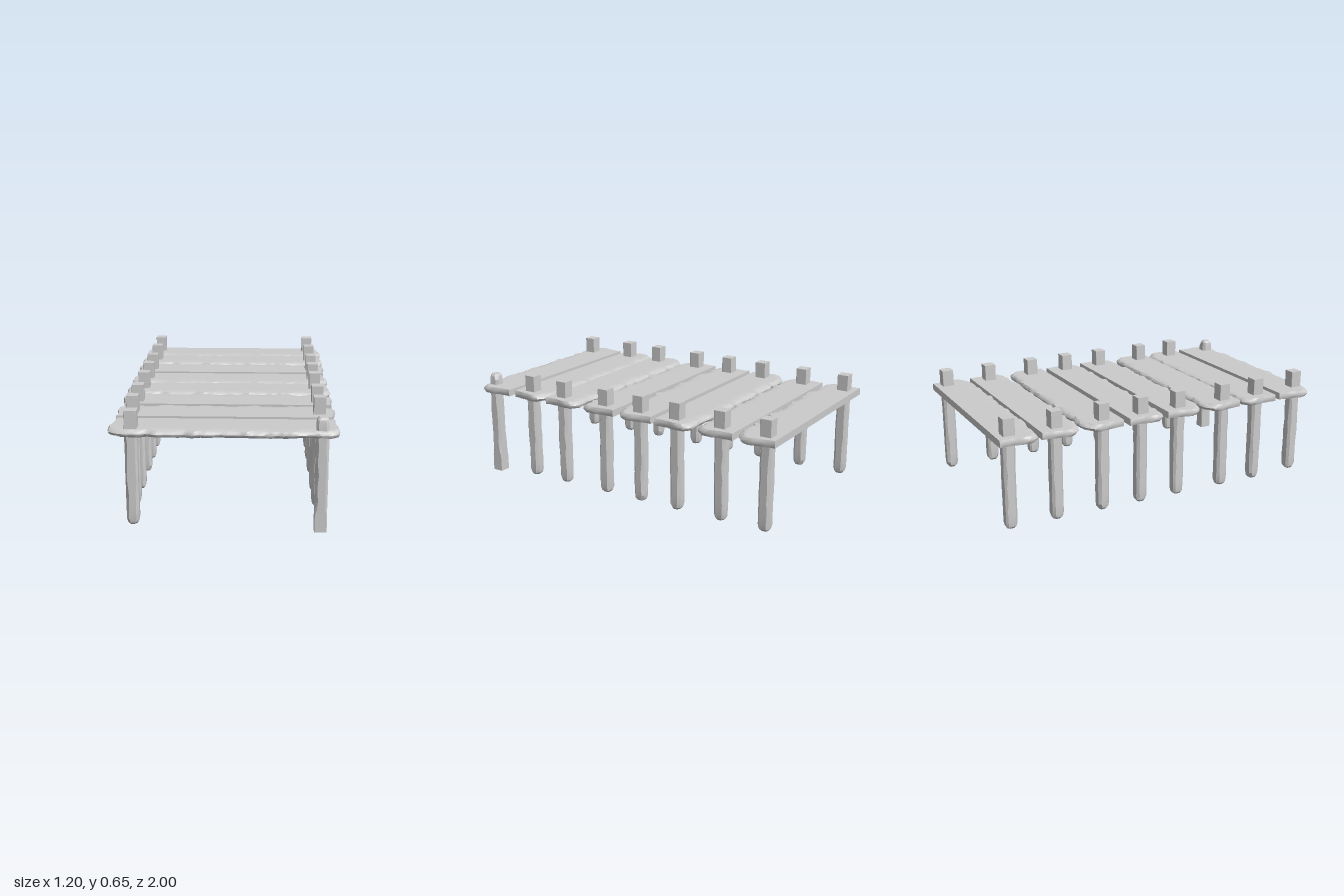
import * as THREE from 'three';
import { toCreasedNormals } from 'three/addons/utils/BufferGeometryUtils.js';

const material = new THREE.MeshStandardMaterial({ color: 0xcccccc });

// repeatable value in -1..1
const noise = (a, b = 0) => {
  const s = Math.sin(a * 127.1 + b * 311.7 + 4.3) * 43758.5453;
  return (s - Math.floor(s)) * 2 - 1;
};

// linear lookup in a list of [position, value]
function lookup(list, t) {
  for (let i = 1; i < list.length; i++) {
    const [a, va] = list[i - 1], [b, vb] = list[i];
    if (t <= b) return va + ((vb - va) * (t - a)) / (b - a);
  }
  return list[list.length - 1][1];
}

function reshape(geometry, rule, crease) {
  const p = geometry.attributes.position;
  for (let i = 0; i < p.count; i++) p.setXYZ(i, ...rule(p.getX(i), p.getY(i), p.getZ(i)));
  return toCreasedNormals(geometry, crease);
}

// Plank outlines: half length at both ends, across from the sawn edge (0) to the worn edge (1)
const pointedEnd = [[0, 0.575], [0.3, 0.584], [0.72, 0.602], [0.86, 0.597], [1, 0.56]];
const bluntEnd = [[0, 0.587], [0.35, 0.586], [0.75, 0.601], [0.9, 0.592], [1, 0.575]];
// depth of the worn edge along the length
const wornEdge = [[-1, 0.215], [-0.9, 0.225], [-0.75, 0.222], [-0.6, 0.236], [-0.45, 0.229],
  [-0.2, 0.234], [0, 0.229], [0.2, 0.235], [0.45, 0.229], [0.62, 0.236], [0.7, 0.222],
  [0.77, 0.234], [0.92, 0.23], [1, 0.213]];

// Plank with one straight sawn edge; sx and sz (+1 or -1) choose its pointed end and worn side
function plankGeometry(sx, sz) {
  const rule = (bx, by, bz) => {
    const u = bx * sx, v = by, t = (1 + bz * sz) / 2;
    const col = Math.round((u + 1) * 28), row = Math.round(t * 8);
    const chip = 0.012 + 0.008 * noise(Math.floor(col / 2), v > 0 ? 1 : 2);
    const endChip = 0.011 + 0.006 * noise(row, u > 0 ? 3 : 4);
    const depth = lookup(wornEdge, u) + 0.003 * noise(col, 5) - chip * v * v;
    const half = lookup(u > 0 ? pointedEnd : bluntEnd, t) + (row > 0 ? 0.003 * noise(row, 6) : 0)
      - endChip * v * v * (0.3 + 0.7 * t);
    const wear = t === 1 ? 0.0025 * (1 + noise(col, 7)) * v : 0;
    return [sx * u * half, 0.54 + 0.02 * v - wear, sz * t * depth];
  };
  return reshape(new THREE.BoxGeometry(2, 2, 2, 56, 4, 8), rule, 0.6);
}

// Post sections from the rounded foot to the square head: [height, half width, corner cut]
const postRings = [[0, 0.02, 0.009], [0.012, 0.029, 0.014], [0.035, 0.033, 0.015], [0.1, 0.033, 0.013],
  [0.17, 0.034, 0.014], [0.24, 0.033, 0.012], [0.31, 0.034, 0.014], [0.38, 0.033, 0.012],
  [0.45, 0.034, 0.013], [0.5, 0.033, 0.009], [0.53, 0.033, 0.002], [0.625, 0.033, 0.001]];

function postGeometry() {
  const n = postRings.length - 1;
  const rule = (x, y, z) => {
    const i = Math.round(y + n / 2);
    const [h, half, cut] = postRings[i];
    if (Math.hypot(x, z) < 0.1) return [0, h, 0];
    const corner = (x > 0 ? 1 : 0) + (z > 0 ? 2 : 0);
    const c = cut * (1 + 0.35 * noise(i, corner));
    const place = (a) => Math.sign(a) * (Math.abs(a) > 0.6 ? half : half - c);
    return [place(x), h, place(z)];
  };
  return reshape(new THREE.CylinderGeometry(1, 1, n, 8, n, false, Math.PI / 8), rule, 0.35);
}

export function createModel() {
  const model = new THREE.Group();
  model.name = 'pier';

  // [sawn edge z, worn side, pointed end, post z]
  const rows = [
    [-1, 1, 1, -0.93], [-0.76, 1, -1, -0.66], [-0.28, -1, -1, -0.38], [-0.245, 1, 1, -0.14],
    [0, 1, -1, 0.1], [0.48, -1, -1, 0.4], [0.725, -1, 1, 0.635], [0.763, 1, -1, 0.93],
  ];
  const post = postGeometry();

  rows.forEach(([edge, sz, sx, postZ], i) => {
    const plank = new THREE.Mesh(plankGeometry(sx, sz), material);
    plank.name = `plank${i + 1}`;
    plank.position.z = edge;
    model.add(plank);

    for (const side of [-1, 1]) {
      const mesh = new THREE.Mesh(post, material);
      mesh.name = `${side > 0 ? 'left' : 'right'}Post${i + 1}`;
      const front = i === rows.length - 1;
      mesh.position.set(side > 0 ? 0.51 : front ? -0.478 : -0.505, 0.03, postZ);
      mesh.rotation.y = ((i + (side > 0 ? 2 : 0)) % 4) * (Math.PI / 2);
      // the front left post stands upside down, square end on the ground
      if (front && side > 0) {
        mesh.rotation.set(Math.PI, 0, 0);
        mesh.position.y = 0.625;
      }
      model.add(mesh);
    }
  });
  return model;
}
